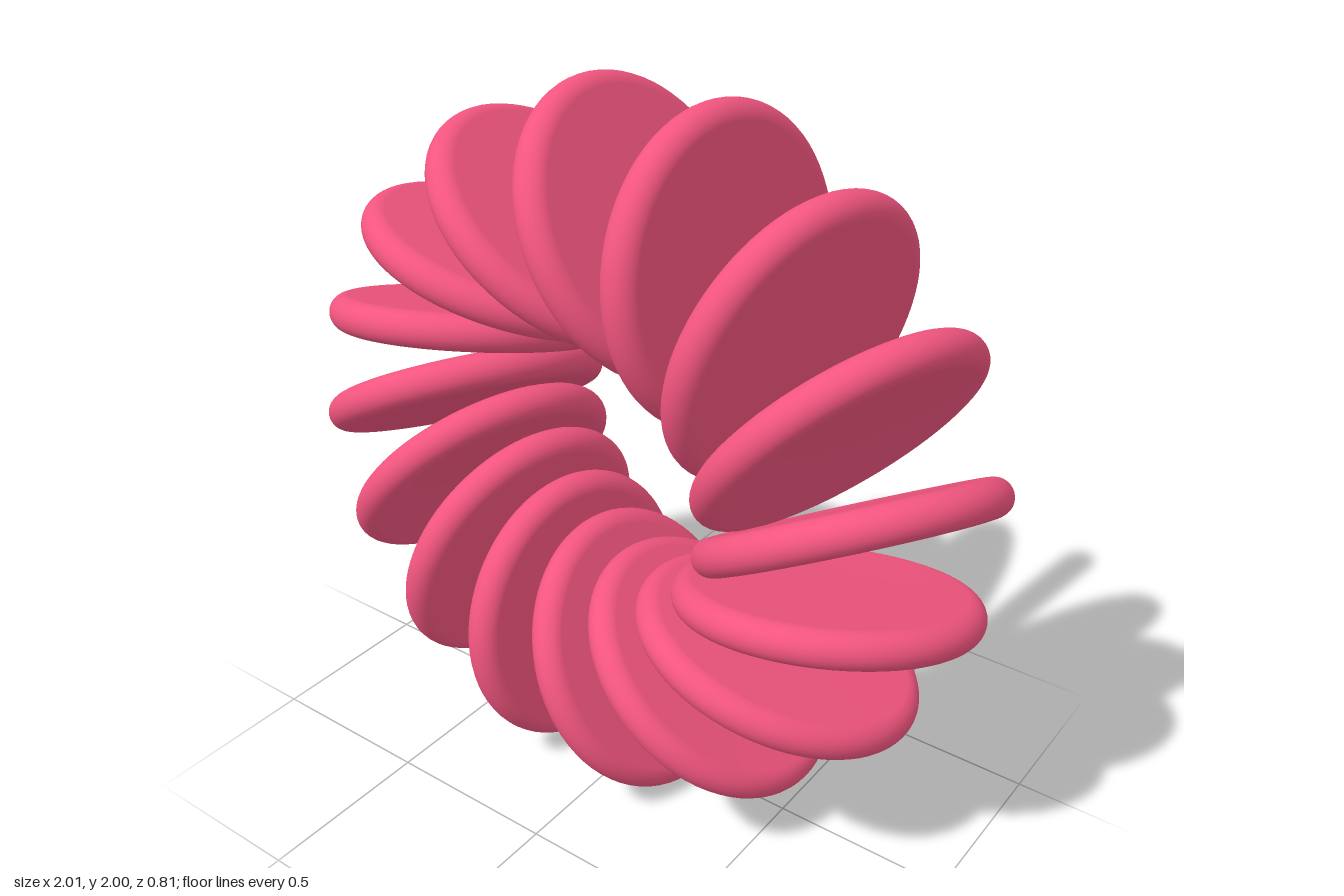
import * as THREE from 'three';

const COUNT = 16;          // discs around the ring
const RING = 0.643;        // ring radius
const R = 0.405;           // disc radius
const EDGE = 0.05;         // half thickness, also rim rounding

// Thin disc with a fully rounded rim and very slightly dished faces
function discGeometry() {
  const pts = [new THREE.Vector2(0, -EDGE + 0.003), new THREE.Vector2(R * 0.6, -EDGE + 0.002)];
  for (let i = 0; i <= 14; i++) {
    const t = -Math.PI / 2 + (Math.PI * i) / 14;
    pts.push(new THREE.Vector2(R - EDGE + EDGE * Math.cos(t), EDGE * Math.sin(t)));
  }
  pts.push(new THREE.Vector2(R * 0.6, EDGE - 0.002), new THREE.Vector2(0, EDGE - 0.003));
  return new THREE.LatheGeometry(pts, 72);
}

export function createModel() {
  const group = new THREE.Group();
  group.name = 'discRing';
  const geometry = discGeometry();
  const material = new THREE.MeshStandardMaterial({ color: 0xf2557f });
  const up = new THREE.Vector3(0, 1, 0);

  for (let i = 0; i < COUNT; i++) {
    const theta = (i / COUNT) * Math.PI * 2;
    // Each disc leans 30 degrees off the radius and wobbles out of the ring plane
    const a = theta - Math.PI / 3;
    const tilt = 0.29 * Math.cos(theta);
    const normal = new THREE.Vector3(
      Math.cos(a) * Math.cos(tilt), Math.sin(a) * Math.cos(tilt), Math.sin(tilt));
    const disc = new THREE.Mesh(geometry, material);
    disc.name = `disc${i + 1}`;
    disc.position.set(RING * Math.cos(theta), 1 + RING * Math.sin(theta), 0);
    disc.quaternion.setFromUnitVectors(up, normal);
    group.add(disc);
  }
  return group;
}
